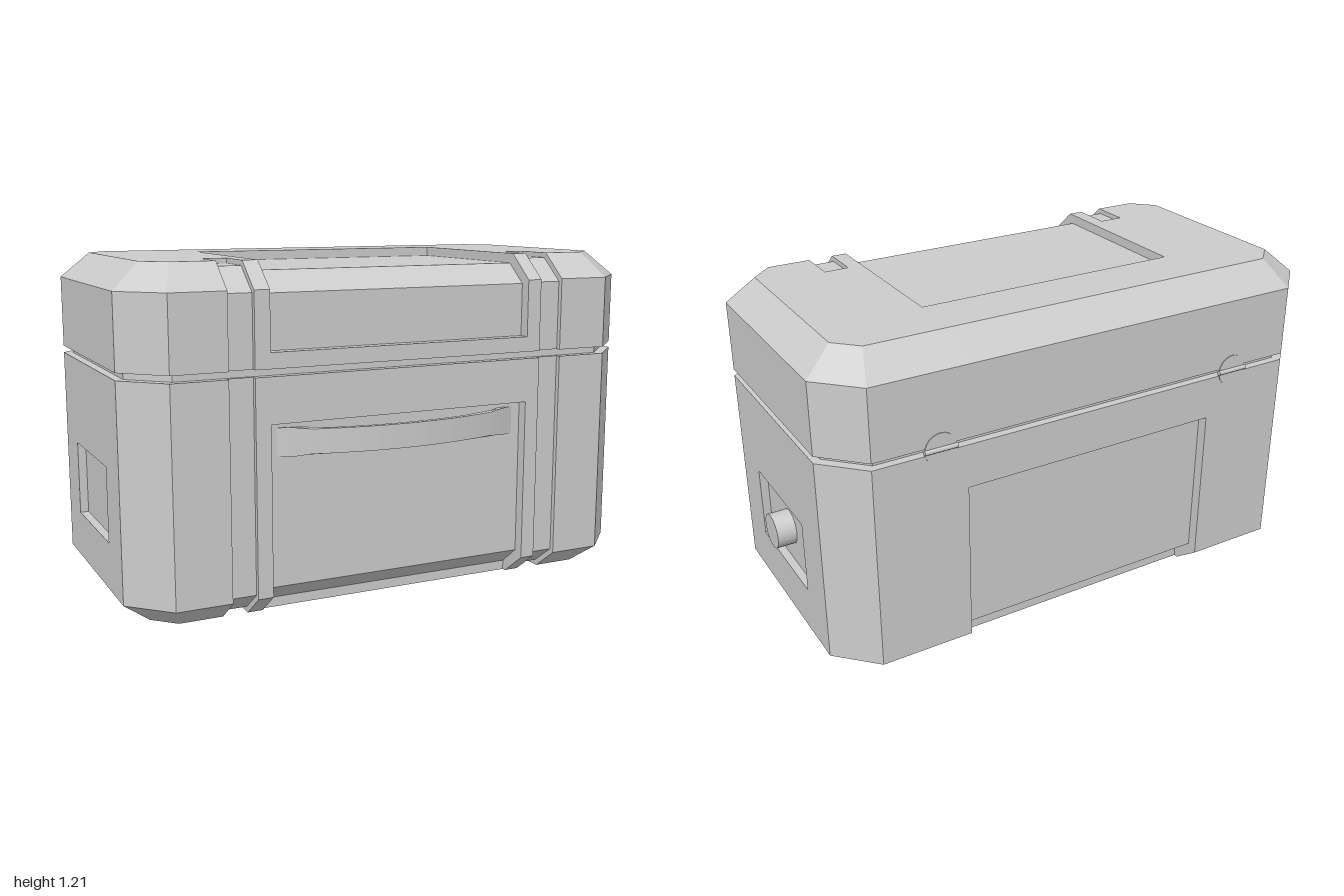
import * as THREE from 'three';

const CX = -0.02, CZ = -0.0175; // centre of the case shell

export function createModel() {
  const model = new THREE.Group();
  model.name = 'hardCase';
  const grey = new THREE.MeshStandardMaterial({ color: 0xcccccc });
  grey.name = 'grey';

  const add = (name, geometry, x = 0, y = 0, z = 0, parent = model) => {
    const mesh = new THREE.Mesh(geometry, grey);
    mesh.name = name;
    mesh.position.set(x, y, z);
    parent.add(mesh);
    return mesh;
  };

  // ---- shell slices: a (z, y) profile swept along x from a to b ----
  const slice = (name, profile, a, b) => {
    const shape = new THREE.Shape(profile.map(([z, y]) => new THREE.Vector2(z, y)));
    const geo = new THREE.ExtrudeGeometry(shape, { depth: b - a, bevelEnabled: false });
    geo.rotateY(-Math.PI / 2);
    add(name, geo, b + CX);
  };

  const seam = (z, inner) => [[z, 0.86], [inner, 0.86], [inner, 0.835], [z, 0.835]];
  const backSeam = seam(-0.54, -0.51).reverse();
  const notch = [[0.2625, 0.035], [-0.2975, 0.035], [-0.2975, 0]];
  const backLid = [...backSeam, [-0.54, 1.12], [-0.435, 1.21]];
  const plainBack = [...notch, [-0.435, 0], [-0.54, 0.08], ...backLid];

  const plain = [[0.2625, 0], ...plainBack,
    [0.4, 1.21], [0.505, 1.12], ...seam(0.505, 0.475), [0.505, 0.08], [0.4, 0]];
  const channel = [[0.2625, 0.018], ...plainBack,
    [0.25, 1.21], [0.25, 1.192], [0.39, 1.192], [0.487, 1.11],
    ...seam(0.487, 0.475), [0.487, 0.09], [0.39, 0.018]];
  const panel = [[0.2625, 0], ...notch,
    [-0.42, 0], [-0.42, 0.035], [-0.5, 0.1], [-0.5, 0.675], [-0.54, 0.675], ...backLid,
    [-0.235, 1.21], [-0.235, 1.175], [0.38, 1.175], [0.465, 1.105], [0.465, 0.915], [0.505, 0.915],
    ...seam(0.505, 0.475), [0.505, 0.675], [0.465, 0.675], [0.465, 0.1], [0.385, 0.035], [0.385, 0]];

  slice('recessedPanelSection', panel, -0.5, 0.5);
  for (const s of [-1, 1]) {
    const span = (name, profile, a, b) => slice(name, profile, Math.min(s * a, s * b), Math.max(s * a, s * b));
    span('rib', plain, 0.5, 0.555);
    span('strapChannel', channel, 0.555, 0.645);
    span('outerRib', plain, 0.645, 0.66);
  }

  // ---- chamfered ends with a bottom recess and a side recess ----
  const endGeometry = () => {
    const pos = [];
    const tri = (a, b, c) => pos.push(...a, ...b, ...c);
    const loft = (rings, closed) => {
      for (let r = 0; r + 1 < rings.length; r++) {
        const lo = rings[r], hi = rings[r + 1], n = lo.length;
        for (let i = 0; i < (closed ? n : n - 1); i++) {
          const j = (i + 1) % n;
          // the flat side wall is built separately around its recess
          if (!closed && i === 2 && lo[0][1] === 0.08) continue;
          tri(lo[i], lo[j], hi[j]);
          tri(lo[i], hi[j], hi[i]);
        }
      }
    };
    const fan = (ring, flip) => {
      for (let i = 1; i + 1 < ring.length; i++) {
        if (flip) tri(ring[0], ring[i + 1], ring[i]);
        else tri(ring[0], ring[i], ring[i + 1]);
      }
    };
    const u0 = 0.66;
    // each ring: height, half length, half depth, corner cut
    const rings = [
      [0.035, 0.77, 0.28, 0.1], [0, 0.77, 0.28, 0.1], [0, 0.88, 0.4175, 0.078],
      [0.08, 0.98, 0.5225, 0.138], [0.835, 0.98, 0.5225, 0.138],
      [0.835, 0.95, 0.4925, 0.125], [0.86, 0.95, 0.4925, 0.125],
      [0.86, 0.98, 0.5225, 0.138], [1.12, 0.98, 0.5225, 0.138], [1.21, 0.88, 0.4175, 0.078],
    ].map(([y, u, w, c]) => [
      [u0, y, w], [u - c, y, w], [u, y, w - c], [u, y, c - w], [u - c, y, -w], [u0, y, -w]]);
    loft(rings, false);
    fan(rings[0], true);
    fan(rings[rings.length - 1], false);

    const rect = (u, w, y0, y1) => [[u, y0, w], [u, y0, -w], [u, y1, -w], [u, y1, w]];
    const side = [rect(0.98, 0.3845, 0.08, 0.835), rect(0.98, 0.214, 0.25, 0.517), rect(0.95, 0.214, 0.25, 0.517)];
    loft(side, true);
    fan(side[2], false);

    const geo = new THREE.BufferGeometry();
    geo.setAttribute('position', new THREE.Float32BufferAttribute(pos, 3));
    geo.computeVertexNormals();
    return geo;
  };
  const end = endGeometry();
  add('leftEnd', end, CX, 0, CZ);
  add('rightEnd', end, CX, 0, CZ).rotation.y = Math.PI;

  // ---- knob in the left side recess ----
  const knob = new THREE.CylinderGeometry(0.064, 0.064, 0.08, 24);
  knob.rotateZ(-Math.PI / 2);
  add('knob', knob, 0.96, 0.387, -0.018);

  // ---- bowed front handle ----
  const N = 16, half = 0.472, bow = (u) => 0.552 - 0.4 * u * u;
  const outer = [], inner = [];
  for (let i = 0; i <= N; i++) {
    const u = -half + (2 * half * i) / N;
    outer.push(new THREE.Vector2(u, bow(u)));
    inner.unshift(new THREE.Vector2(u, bow(u) - 0.02));
  }
  const handle = new THREE.ExtrudeGeometry(new THREE.Shape([...outer, ...inner]), { depth: 0.1, bevelEnabled: false });
  handle.rotateX(Math.PI / 2);
  handle.translate(0, 0.05, 0);
  const hp = handle.attributes.position;
  for (let i = 0; i < hp.count; i++) {
    // slimmer grip between the two end tabs
    if (Math.abs(hp.getX(i)) < 0.37) hp.setY(i, hp.getY(i) * 0.86);
  }
  handle.computeVertexNormals();
  add('handle', handle, CX, 0.605, 0);

  // ---- rear hinges: thin round plate and pin ----
  for (const s of [-1, 1]) {
    const hinge = new THREE.Group();
    hinge.name = 'hinge';
    hinge.position.set(CX + s * 0.6, 0.848, -0.54);
    const plate = new THREE.CylinderGeometry(0.058, 0.058, 0.006, 24);
    plate.rotateX(Math.PI / 2);
    add('hingePlate', plate, 0, 0, 0, hinge);
    const pin = new THREE.CylinderGeometry(0.009, 0.009, 0.12, 10);
    pin.rotateZ(Math.PI / 2);
    add('hingePin', pin, 0, 0, -0.003, hinge);
    model.add(hinge);
  }

  return model;
}
